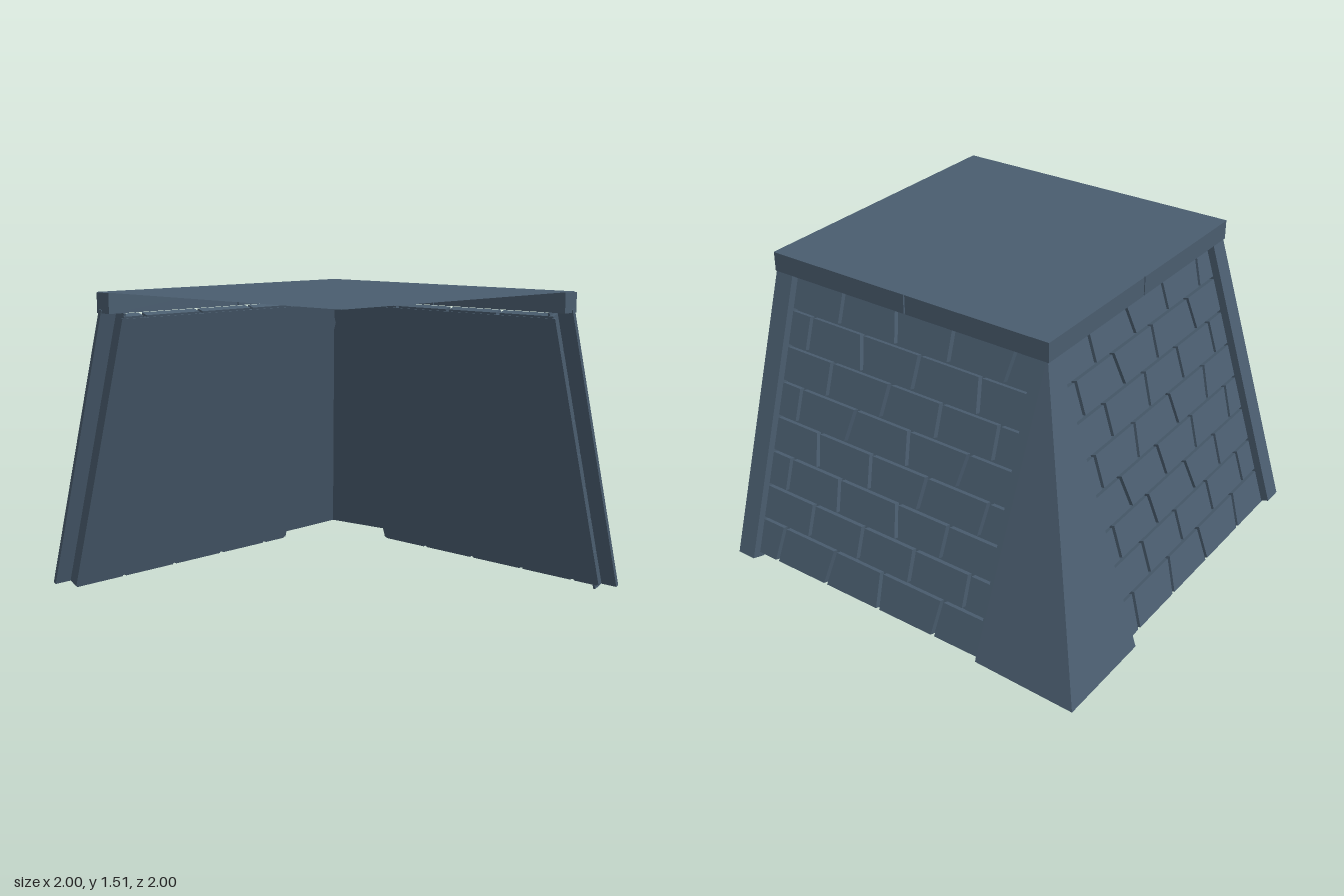
import * as THREE from 'three';

const SLOPE = Math.atan(0.323);      // lean of both walls
const COS = Math.cos(SLOPE), SIN = Math.sin(SLOPE);

const slate = new THREE.MeshStandardMaterial({ color: 0x4a5d6f, side: THREE.DoubleSide });
slate.name = 'slate';

// Brick joints per course, bottom to top: [z at joint bottom, z at joint top]
const JOINTS = [
  [[0.78, 0.76], [0.46, 0.43], [0.13, 0.14], [-0.20, -0.22]],
  [[0.60, 0.60], [0.29, 0.29], [-0.02, -0.02], [-0.34, -0.34]],
  [[0.78, 0.78], [0.45, 0.47], [0.09, 0.12], [-0.17, -0.18]],
  [[0.61, 0.64], [0.29, 0.31], [0.00, -0.02], [-0.35, -0.37]],
  [[0.78, 0.78], [0.47, 0.44], [0.10, 0.12], [-0.19, -0.22]],
  [[0.62, 0.62], [0.29, 0.27], [-0.03, -0.03], [-0.35, -0.35]],
  [[0.78, 0.78], [0.44, 0.47], [0.14, 0.13], [-0.23, -0.21]],
  [[0.61, 0.61], [0.27, 0.30], [-0.03, -0.03], [-0.34, -0.37]],
];

function add(parent, geometry, name) {
  const mesh = new THREE.Mesh(geometry, slate);
  mesh.name = name;
  parent.add(mesh);
  return mesh;
}

function box(parent, name, x0, x1, y0, y1, z0, z1) {
  const mesh = add(parent, new THREE.BoxGeometry(x1 - x0, y1 - y0, z1 - z0), name);
  mesh.position.set((x0 + x1) / 2, (y0 + y1) / 2, (z0 + z1) / 2);
  return mesh;
}

// Four-sided slab in the wall plane, from depth n0 to n1 along the normal
function slab(parent, name, corners, n0, n1) {
  const shape = new THREE.Shape(corners.map(([u, v]) => new THREE.Vector2(u, v)));
  const g = new THREE.ExtrudeGeometry(shape, { depth: n1 - n0, bevelEnabled: false });
  g.translate(0, 0, n0);
  return add(parent, g, name);
}

// Leaning frame: X runs towards -z, Y up the slope, Z outwards
function leaningFrame(name) {
  const frame = new THREE.Group();
  frame.name = name;
  const basis = new THREE.Matrix4().makeBasis(
    new THREE.Vector3(0, 0, -1),
    new THREE.Vector3(-SIN, COS, 0),
    new THREE.Vector3(COS, SIN, 0));
  frame.quaternion.setFromRotationMatrix(basis);
  frame.position.x = 1;
  return frame;
}

// Brick wall with backing and one end trim
function buildWall(name, trimStart, trimDirection, trimBottom) {
  const wall = new THREE.Group();
  wall.name = name;
  const frame = leaningFrame('leaningPanel');
  wall.add(frame);

  const along = y => (y + 0.012) / COS;
  const gap = 0.01;
  JOINTS.forEach((joints, row) => {
    const bottom = row === 0 ? 0.012 : 0.026 + row * 0.1705;
    const top = row === 7 ? 1.385 : 0.012 + (row + 1) * 0.1705;
    const edges = [[0.94, 0.94], ...joints, [-0.5, -0.5]];
    for (let i = 0; i < edges.length - 1; i++) {
      const [lb, lt] = edges[i], [rb, rt] = edges[i + 1];
      slab(frame, 'brick', [
        [-lb + gap, along(bottom)], [-rb - gap, along(bottom)],
        [-rt - gap, along(top)], [-lt + gap, along(top)],
      ], -0.078, -0.04);
    }
  });

  // Mortar backing
  box(frame, 'backing', -0.94, 0.5, along(0.02), along(1.375), -0.08, -0.07);

  // Trim plate, with a lip turned in beside the bricks
  const a = trimStart, b = trimStart + 0.1 * trimDirection;
  const lip = a + 0.012 * trimDirection;
  box(frame, 'endTrim', Math.min(a, b), Math.max(a, b), trimBottom, 1.41 / COS, -0.018, 0);
  box(frame, 'endTrimLip', Math.min(a, lip), Math.max(a, lip), trimBottom, 1.41 / COS, -0.075, -0.018);
  return wall;
}

// One strip of quads through pairs of points
function strip(pairs) {
  const g = new THREE.BufferGeometry();
  const pos = [];
  for (let i = 0; i < pairs.length - 1; i++) {
    const [a, d] = pairs[i], [b, c] = pairs[i + 1];
    pos.push(...a, ...b, ...c, ...a, ...c, ...d);
  }
  g.setAttribute('position', new THREE.Float32BufferAttribute(pos, 3));
  g.computeVertexNormals();
  return g;
}

export function createModel() {
  const model = new THREE.Group();
  model.name = 'cornerWall';

  // Two brick walls at a right angle
  model.add(buildWall('sideWall', -0.9, -1, 0));
  const back = buildWall('backWall', 0.48, 1, 0.03);
  back.rotation.y = Math.PI / 2;
  back.position.x = -0.42;
  model.add(back);

  // Folded corner piece with lips turned in at both edges
  const e = 0.48, t = 0.545, h = 1.41, d = 0.07;
  add(model, strip([
    [[1 - d, 0.01, -e], [t - d, h, -e]],
    [[1, 0.03, -e], [t, h, -e]],
    [[1, 0.01, -1], [t, h, -t]],
    [[e - 0.01, 0.005, -1], [e - 0.01, h, -t]],
    [[e - 0.01, 0.005, -1 + d], [e - 0.01, h, -t + d]],
  ]), 'cornerPiece');

  // Coping blocks along the two outer edges
  const c = 0.565, w = 0.09;
  box(model, 'sideCoping', c - w, c, 1.39, 1.485, 0.214, 0.995);
  box(model, 'sideCoping', c - w, c, 1.39, 1.485, -c, 0.206);
  box(model, 'backCoping', -0.995, -0.214, 1.39, 1.485, -c, -c + w);
  box(model, 'backCoping', -0.206, c - w, 1.39, 1.485, -c, -c + w);

  // Flat top
  const top = add(model, new THREE.PlaneGeometry(0.995 + c, 0.995 + c), 'topDeck');
  top.rotation.x = -Math.PI / 2;
  top.position.set((c - 0.995) / 2, 1.487, (0.995 - c) / 2);
  return model;
}
